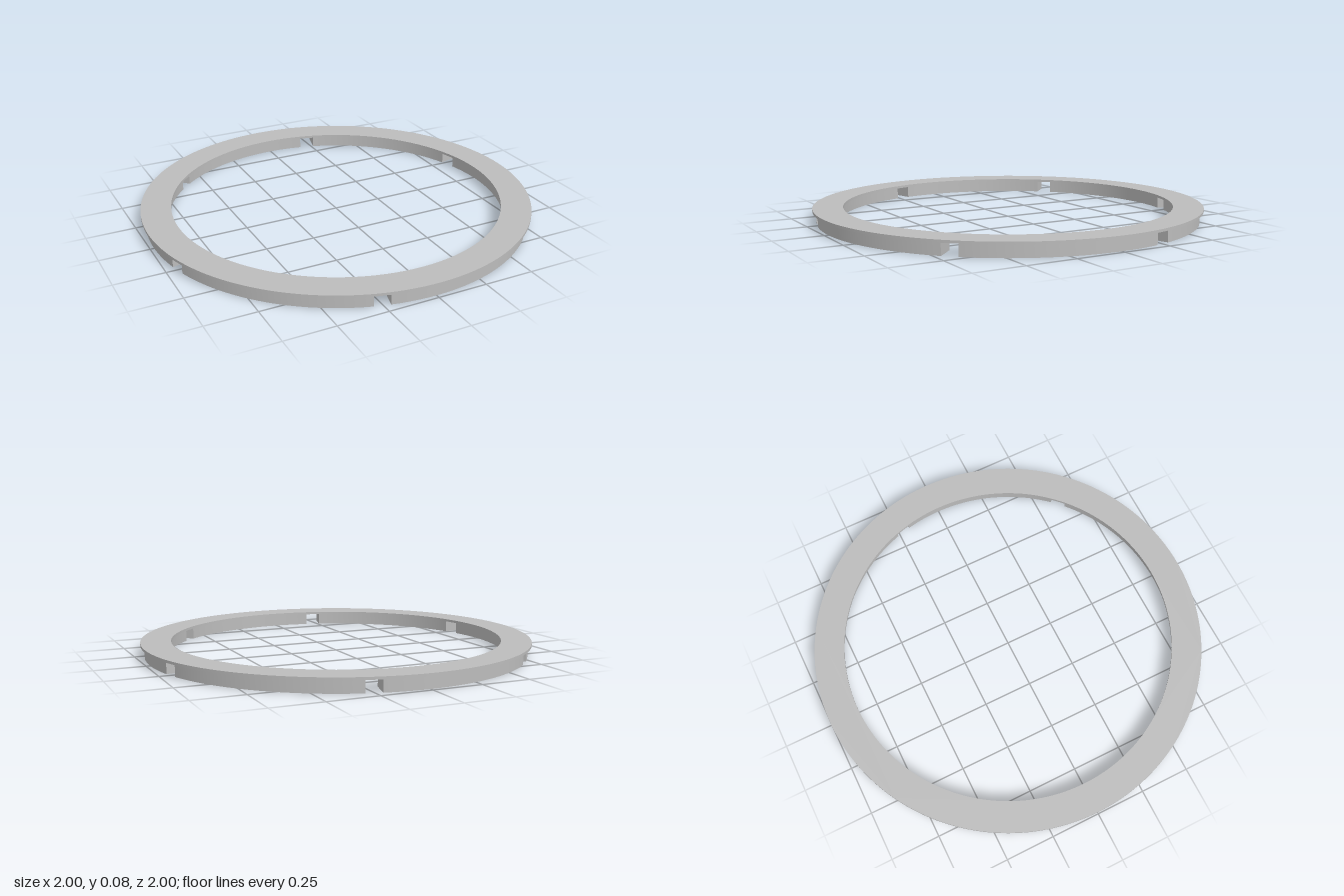
import * as THREE from 'three';
import { toCreasedNormals } from 'three/addons/utils/BufferGeometryUtils.js';

const FLANGE_BOTTOM = 0.062, TOP = 0.075;
const FLANGE_OUTER = 1, FLANGE_INNER = 0.847;
const BODY_OUTER = 0.98, BODY_INNER = 0.865;
const SEGMENTS = 6, GAP = 0.078;

// Extrudes a plan outline upwards from y = bottom to y = top
function slab(shape, bottom, top, curveSegments) {
  const geometry = new THREE.ExtrudeGeometry(shape, { depth: top - bottom, bevelEnabled: false, curveSegments });
  geometry.rotateX(-Math.PI / 2);
  geometry.translate(0, bottom, 0);
  return toCreasedNormals(geometry, Math.PI / 6);
}

export function createModel() {
  const group = new THREE.Group();
  group.name = 'slottedRing';
  const grey = new THREE.MeshStandardMaterial({ color: 0xbcbcbc });
  grey.name = 'grey';

  // Thin flat flange on top
  const ring = new THREE.Shape().absarc(0, 0, FLANGE_OUTER, 0, Math.PI * 2, false);
  ring.holes.push(new THREE.Path().absarc(0, 0, FLANGE_INNER, 0, Math.PI * 2, true));
  const flange = new THREE.Mesh(slab(ring, FLANGE_BOTTOM, TOP, 96), grey);
  flange.name = 'topFlange';
  group.add(flange);

  // Six arc blocks beneath it, separated by parallel-sided slots
  const half = Math.PI / SEGMENTS;
  const outer = half - Math.asin(GAP / 2 / BODY_OUTER);
  const inner = half - Math.asin(GAP / 2 / BODY_INNER);
  const arc = new THREE.Shape();
  arc.absarc(0, 0, BODY_OUTER, -outer, outer, false);
  arc.absarc(0, 0, BODY_INNER, inner, -inner, true);
  arc.closePath();
  const arcGeometry = slab(arc, 0, FLANGE_BOTTOM, 24);
  for (let i = 0; i < SEGMENTS; i++) {
    const block = new THREE.Mesh(arcGeometry, grey);
    block.name = `lowerArc${i + 1}`;
    block.rotation.y = -Math.PI / 12 + i * half * 2;
    group.add(block);
  }
  return group;
}
